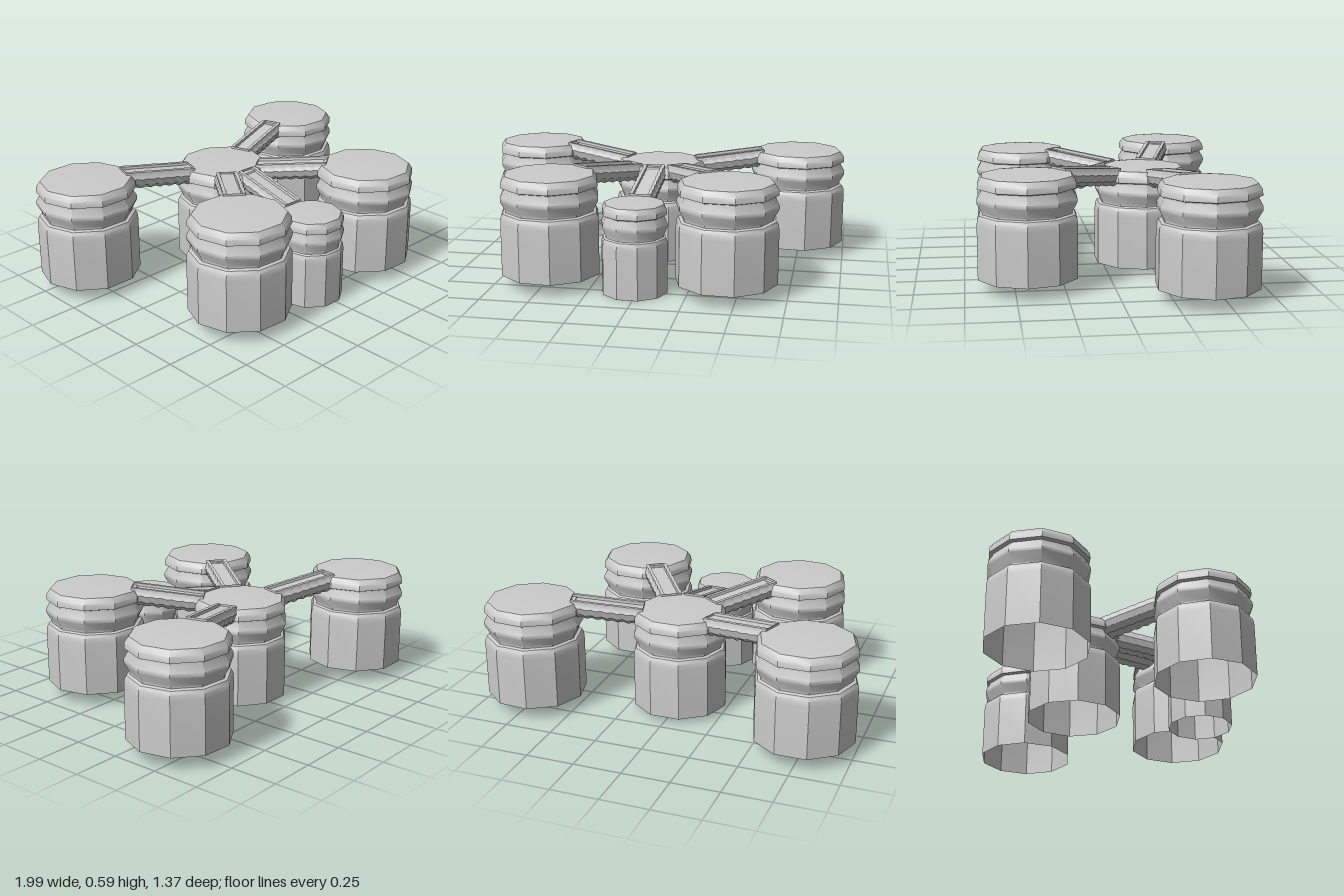
import * as THREE from 'three';
import { toCreasedNormals } from 'three/addons/utils/BufferGeometryUtils.js';

const material = new THREE.MeshStandardMaterial({ color: 0xcccccc, side: THREE.DoubleSide });

// Pod outline for the large size: [radius, height above its open base]
const podProfile = [
  [0.26, 0], [0.26, 0.275], [0.257, 0.305], [0.248, 0.322], [0.232, 0.328],
  [0.232, 0.338], [0.258, 0.385], [0.258, 0.405], [0.237, 0.442], [0.237, 0.449],
  [0.255, 0.455], [0.253, 0.485], [0.233, 0.513], [0.205, 0.515], [0, 0.515],
];

// Ten-sided, open-bottomed canister with a bellows neck and flat lid
function makePod({ name, x, z, base, r, h, turn }) {
  const points = podProfile.map(([pr, py]) =>
    new THREE.Vector2(pr * r / 0.26, py * h / 0.515));
  const geo = new THREE.LatheGeometry(points, 10, Math.PI / 2);
  const mesh = new THREE.Mesh(toCreasedNormals(geo, 0.6), material);
  mesh.name = name;
  mesh.position.set(x, base, z);
  mesh.rotation.y = THREE.MathUtils.degToRad(-turn);
  return mesh;
}

// Arm cross-section: flat deck, two raised rails and a rounded ribbed belly
const half = [[0.036, -0.008], [0.038, 0.006], [0.056, 0.006], [0.058, -0.012],
  [0.068, -0.03], [0.058, -0.065], [0.03, -0.088]];
const section = [...half, ...half.map(([u, v]) => [-u, v]).reverse()];

// Loft the section from a to b, swelling every other ring into a rib
function makeArm(name, a, b) {
  const along = b.clone().sub(a);
  const side = new THREE.Vector3(along.z, 0, -along.x).normalize();
  const n = section.length, rings = 15;
  const pos = [], index = [];
  for (let i = 0; i < rings; i++) {
    const c = a.clone().addScaledVector(along, i / (rings - 1));
    const swell = i % 2 ? 1.05 : 0.97;
    for (const [u, v] of section) {
      const p = c.clone().addScaledVector(side, u * swell);
      pos.push(p.x, p.y + (v < -0.02 ? v * swell : v), p.z);
    }
  }
  for (let i = 0; i < rings - 1; i++) {
    for (let j = 0; j < n; j++) {
      const k = (j + 1) % n, p = i * n, q = p + n;
      index.push(p + j, p + k, q + j, p + k, q + k, q + j);
    }
  }
  // End caps: strips between mirrored points
  for (const s of [0, (rings - 1) * n]) {
    for (let j = 0; j < n / 2 - 1; j++) {
      const m = n - 1 - j;
      index.push(s + j, s + j + 1, s + m, s + j + 1, s + m - 1, s + m);
    }
  }
  const geo = new THREE.BufferGeometry();
  geo.setAttribute('position', new THREE.Float32BufferAttribute(pos, 3));
  geo.setIndex(index);
  const mesh = new THREE.Mesh(toCreasedNormals(geo, 0.5), material);
  mesh.name = name;
  return mesh;
}

export function createModel() {
  const model = new THREE.Group();
  model.name = 'podCluster';

  const hub = { name: 'hubPod', x: 0, z: -0.2, base: 0.025, r: 0.25, h: 0.515, turn: 0 };
  const large = { base: 0.065, r: 0.26, h: 0.515 };
  const pods = [
    { name: 'backRight', x: -0.74, z: -0.44, turn: 0, ...large },
    { name: 'backLeft', x: 0.735, z: -0.42, turn: 4, ...large },
    { name: 'frontRight', x: -0.47, z: 0.417, turn: 4, ...large },
    { name: 'frontLeft', x: 0.44, z: 0.433, turn: 3, ...large },
    { name: 'frontSmall', x: -0.02, z: 0.475, turn: 2, base: 0, r: 0.17, h: 0.46 },
  ];
  model.add(makePod(hub));

  // Each outer pod is joined to the hub lid by a sloping arm
  for (const pod of pods) {
    model.add(makePod({ ...pod, name: pod.name + 'Pod' }));
    const dir = new THREE.Vector3(pod.x - hub.x, 0, pod.z - hub.z);
    const length = dir.length();
    dir.normalize();
    const start = dir.clone().multiplyScalar(0.19);
    const end = dir.clone().multiplyScalar(length - pod.r * 0.78);
    start.add(new THREE.Vector3(hub.x, hub.base + hub.h + 0.005, hub.z));
    end.add(new THREE.Vector3(hub.x, pod.base + pod.h + 0.005, hub.z));
    model.add(makeArm(pod.name + 'Arm', start, end));
  }
  return model;
}
